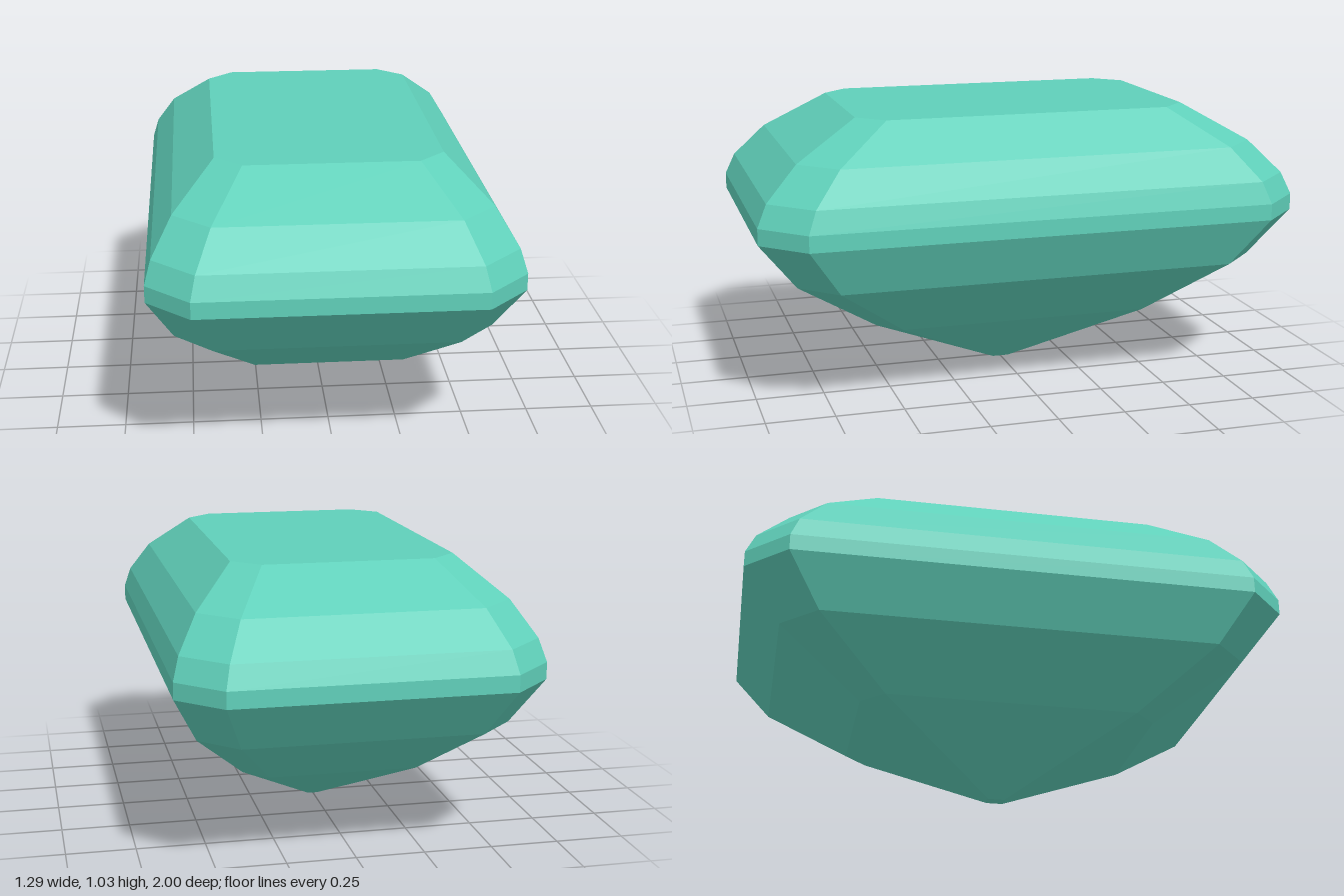
import * as THREE from 'three';

// Outline of the rectangular cut with clipped corners, counter-clockwise seen from above
function ring(y, halfX, halfZ, cut) {
  const ix = halfX - cut, iz = halfZ - cut;
  return [
    [halfX, iz], [halfX, -iz], [ix, -halfZ], [-ix, -halfZ],
    [-halfX, -iz], [-halfX, iz], [-ix, halfZ], [ix, halfZ],
  ].map(([x, z]) => new THREE.Vector3(x, y, z));
}

function meshFrom(name, points, material) {
  const geometry = new THREE.BufferGeometry().setFromPoints(points);
  geometry.computeVertexNormals(); // unshared corners give flat facets
  const mesh = new THREE.Mesh(geometry, material);
  mesh.name = name;
  return mesh;
}

// Bands of facets joining rings listed from bottom to top
function facets(name, rings, material) {
  const points = [];
  for (let r = 0; r < rings.length - 1; r++) {
    const a = rings[r], b = rings[r + 1];
    for (let i = 0; i < a.length; i++) {
      const j = (i + 1) % a.length;
      points.push(a[i], a[j], b[j], a[i], b[j], b[i]);
    }
  }
  return meshFrom(name, points, material);
}

// Flat face closing a ring
function cap(name, outline, material, up) {
  const points = [];
  for (let i = 1; i < outline.length - 1; i++) {
    points.push(outline[0], outline[up ? i : i + 1], outline[up ? i + 1 : i]);
  }
  return meshFrom(name, points, material);
}

export function createModel() {
  const gem = new THREE.Group();
  gem.name = 'gemstone';
  const green = new THREE.MeshStandardMaterial({ color: 0x60d0ba, flatShading: true });
  green.name = 'sea green';

  // Height, half width, half length, corner cut
  const rings = [
    [0, 0.023, 0.035, 0.005],
    [0.25, 0.355, 0.55, 0.084],
    [0.46, 0.555, 0.86, 0.131],
    [0.64, 0.645, 1.0, 0.152],
    [0.7, 0.645, 1.0, 0.152],
    [0.78, 0.622, 0.965, 0.147],
    [0.9, 0.549, 0.85, 0.13],
    [1.035, 0.4, 0.62, 0.094],
  ].map((level) => ring(...level));

  gem.add(
    cap('culet', rings[0], green, false),
    facets('pavilion', rings.slice(0, 4), green),
    facets('girdle', rings.slice(3, 5), green),
    facets('crown', rings.slice(4), green),
    cap('table', rings[7], green, true),
  );
  return gem;
}
